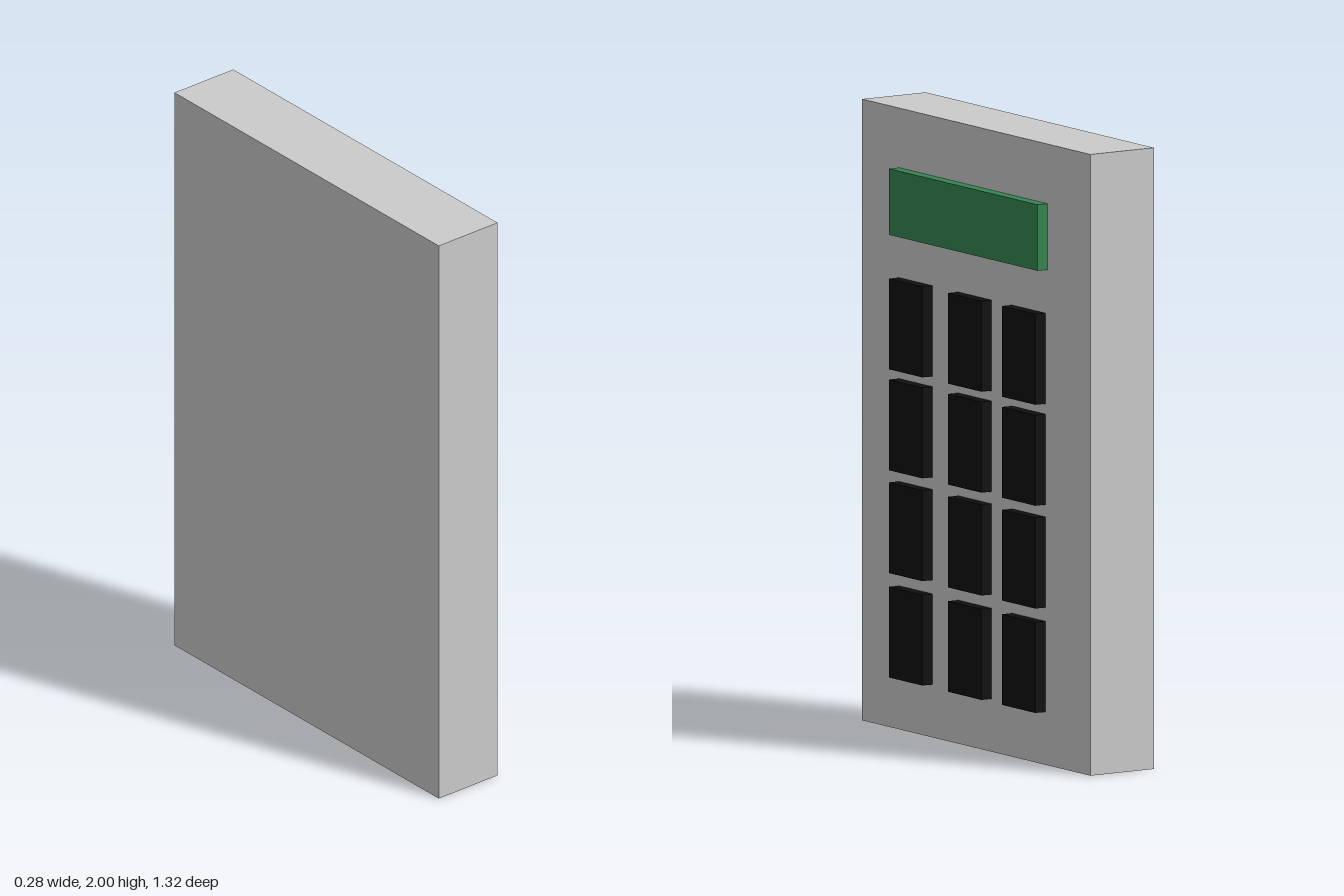
import * as THREE from 'three';

const grey = new THREE.MeshStandardMaterial({ color: 0xcccccc });
const green = new THREE.MeshStandardMaterial({ color: 0x368651 });
const black = new THREE.MeshStandardMaterial({ color: 0x0f0f0f });

// Box given by its extents along each axis
function block(name, material, [x0, x1], [y0, y1], [z0, z1]) {
  const mesh = new THREE.Mesh(new THREE.BoxGeometry(x1 - x0, y1 - y0, z1 - z0), material);
  mesh.position.set((x0 + x1) / 2, (y0 + y1) / 2, (z0 + z1) / 2);
  mesh.name = name;
  return mesh;
}

export function createModel() {
  const model = new THREE.Group();
  model.name = 'keypad';

  // Housing slab, with the keys on its +x face
  const face = 0.102, top = 0.14;
  model.add(block('housing', grey, [-0.14, face], [0, 2], [-0.66, 0.66]));

  // Raised display
  model.add(block('display', green, [face, top], [1.595, 1.808], [-0.412, 0.447]));

  // Four rows of three raised keys
  const keys = new THREE.Group();
  keys.name = 'keys';
  const keyWidth = 0.193, keyHeight = 0.292;
  const rows = [1.308, 0.983, 0.652, 0.316];
  const columns = [0.35, 0.008, -0.303];
  rows.forEach((y, r) => columns.forEach((z, c) => {
    keys.add(block(`key row ${r + 1} column ${c + 1}`, black, [face, top],
      [y - keyHeight / 2, y + keyHeight / 2], [z - keyWidth / 2, z + keyWidth / 2]));
  }));
  model.add(keys);

  return model;
}
